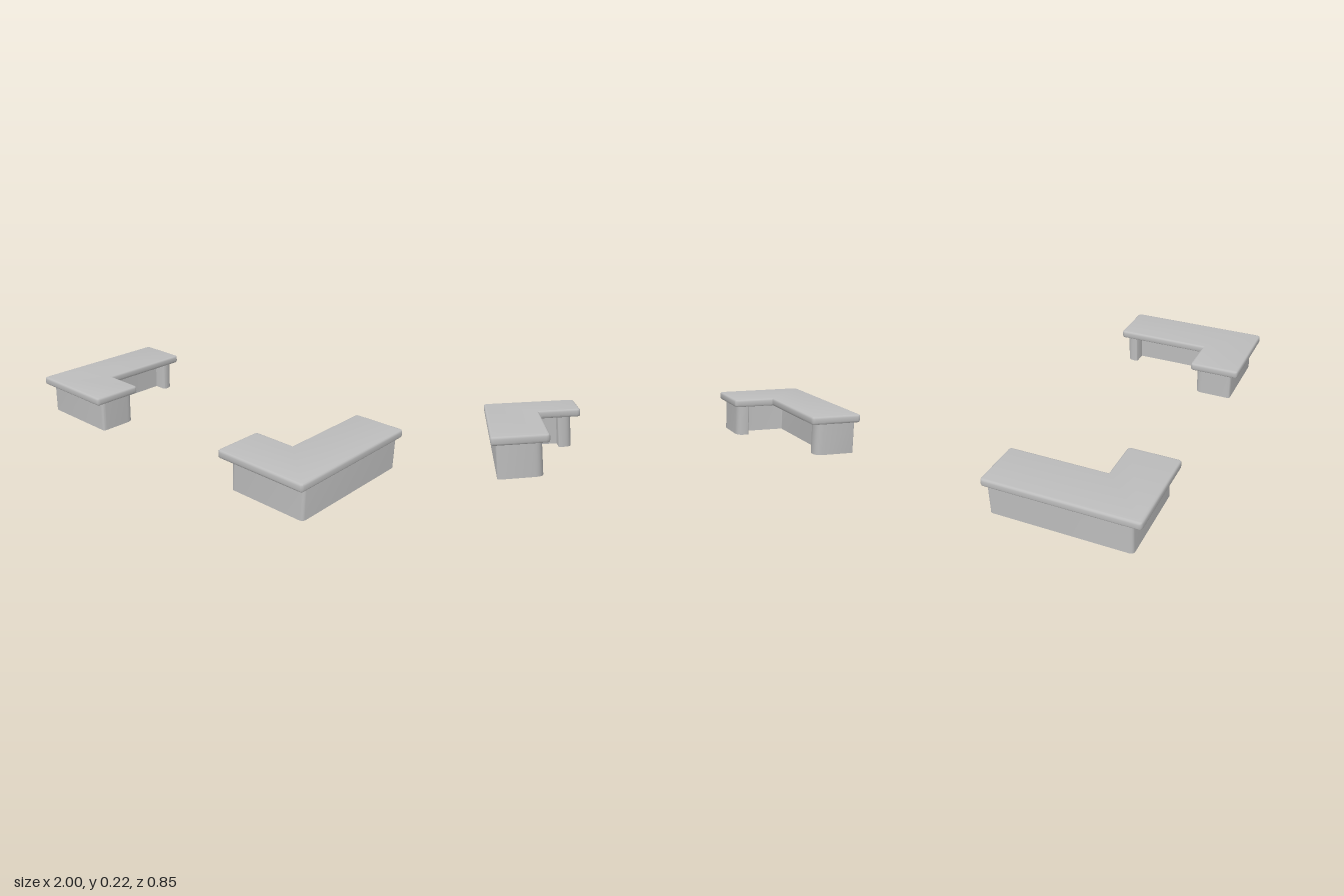
import * as THREE from 'three';
import { toCreasedNormals } from 'three/addons/utils/BufferGeometryUtils.js';

const grey = new THREE.MeshStandardMaterial({ color: 0xbcbcbc, side: THREE.DoubleSide });
grey.name = 'plain grey';

// Closed outline from [x, z, corner radius] points, mirrored by side
function outline(points, side) {
  const v = points.map(([x, z]) => new THREE.Vector2(x * side, -z));
  const shape = new THREE.Shape();
  points.forEach(([, , r], i) => {
    const p = v[i];
    const before = v[(i + v.length - 1) % v.length].clone().sub(p).setLength(r).add(p);
    const after = v[(i + 1) % v.length].clone().sub(p).setLength(r).add(p);
    if (i === 0) shape.moveTo(before.x, before.y);
    else shape.lineTo(before.x, before.y);
    if (r > 0) shape.quadraticCurveTo(p.x, p.y, after.x, after.y);
  });
  shape.closePath();
  return shape;
}

function part(name, geometry) {
  const mesh = new THREE.Mesh(toCreasedNormals(geometry, 0.7), grey);
  mesh.name = name;
  return mesh;
}

// Hollow upright wall along an outline, open above and below
function wall(shape, height) {
  const ring = shape.getPoints(6);
  if (THREE.ShapeUtils.isClockWise(ring)) ring.reverse();
  const geometry = new THREE.PlaneGeometry(1, 1, ring.length - 1, 1);
  const position = geometry.attributes.position;
  for (let i = 0; i < position.count; i++) {
    const p = ring[i % ring.length];
    position.setXYZ(i, p.x, i < ring.length ? height : 0, -p.y);
  }
  return geometry;
}

// Flat slab with a rounded rim
function slab(shape, y, height, bevel) {
  const geometry = new THREE.ExtrudeGeometry(shape, {
    depth: height - 2 * bevel,
    bevelSize: bevel,
    bevelThickness: bevel,
    bevelOffset: -bevel,
    bevelSegments: 3,
    curveSegments: 3,
  });
  geometry.rotateX(-Math.PI / 2);
  geometry.translate(0, y + bevel, 0);
  return geometry;
}

// L-shaped desk: side is +1 for the left desk, -1 for the right one
function desk(name, side, endX) {
  const group = new THREE.Group();
  group.name = name;

  // Hollow base panel with a short rounded post at each end
  const base = [
    [0.976, -0.404, 0.015],
    [0.745, -0.404, 0.045],
    [0.745, -0.335, 0.015],
    [0.825, -0.335, 0],
    [0.825, 0.245, 0.01],
    [endX + 0.075, 0.245, 0],
    [endX + 0.075, 0.152, 0.015],
    [endX, 0.152, 0.045],
    [endX, 0.376, 0.02],
    [0.976, 0.376, 0.025],
  ];
  group.add(part('base', wall(outline(base, side), 0.18)));

  // Overhanging worktop
  const top = [
    [1, -0.427, 0.02],
    [0.708, -0.427, 0.02],
    [0.708, 0.131, 0],
    [0.471, 0.131, 0.02],
    [0.471, 0.427, 0.02],
    [1, 0.427, 0.02],
  ];
  group.add(part('worktop', slab(outline(top, side), 0.177, 0.045, 0.012)));
  return group;
}

export function createModel() {
  const model = new THREE.Group();
  model.name = 'pair of L-shaped desks';
  model.add(desk('leftDesk', 1, 0.525), desk('rightDesk', -1, 0.495));
  return model;
}
